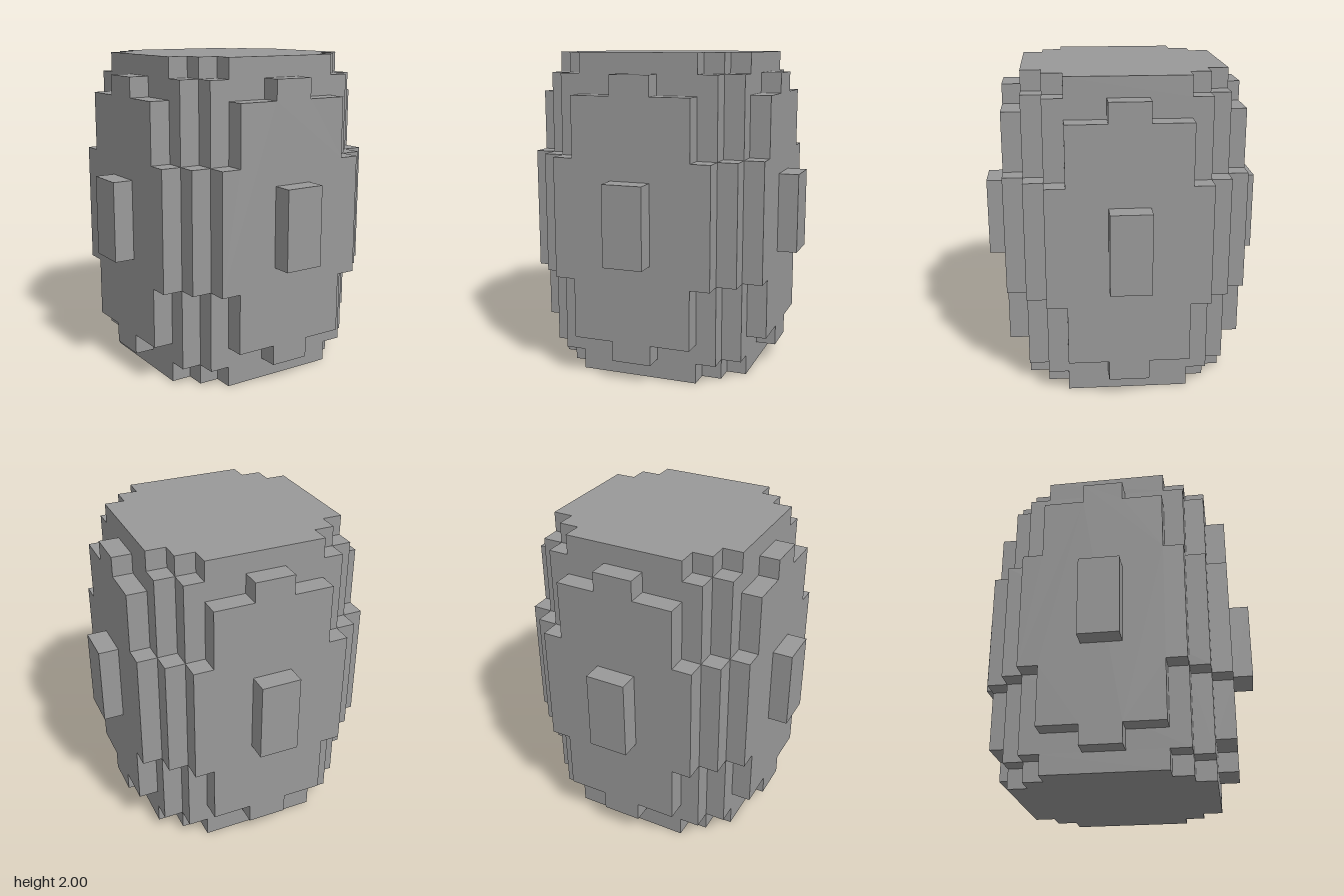
import * as THREE from 'three';

const U = 0.125; // one block

// Turns one quadrant of a stepped outline into a full mirrored shape
function mirroredShape(quadrant) {
  const back = [...quadrant].reverse();
  const points = [
    ...quadrant,
    ...back.map(([x, y]) => [-x, y]),
    ...quadrant.map(([x, y]) => [-x, -y]),
    ...back.map(([x, y]) => [x, -y]),
  ];
  return new THREE.Shape(points.map(([x, y]) => new THREE.Vector2(x * U, y * U)));
}

function extrude(quadrant, depth) {
  return new THREE.ExtrudeGeometry(mirroredShape(quadrant), { depth: depth * U, bevelEnabled: false });
}

export function createModel() {
  const model = new THREE.Group();
  model.name = 'blockBarrel';
  const grey = new THREE.MeshStandardMaterial({ color: 0x999999 });
  grey.name = 'grey';

  function add(parent, name, geometry) {
    const mesh = new THREE.Mesh(geometry, grey);
    mesh.name = name;
    parent.add(mesh);
  }

  // Barrel core: stacked bands with stepped corners
  const capOutline = [[5, 3], [4, 3], [4, 4], [3, 4], [3, 5]];
  const shoulderOutline = [[5, 4], [4, 4], [4, 5]];
  const waistOutline = [[5, 5]];
  const bands = [
    ['bottomCap', capOutline, 0, 1],
    ['lowerShoulder', shoulderOutline, 1, 5],
    ['waist', waistOutline, 5, 11],
    ['upperShoulder', shoulderOutline, 11, 15],
    ['topCap', capOutline, 15, 16],
  ];
  for (const [name, outline, bottom, top] of bands) {
    const geometry = extrude(outline, top - bottom);
    geometry.rotateX(-Math.PI / 2).translate(0, bottom * U, 0);
    add(model, name, geometry);
  }

  // Raised stepped panel and central knob on each of the four sides
  const panel = extrude([[4, 3], [3, 3], [3, 6], [1, 6], [1, 7]], 1).translate(0, 8 * U, 5 * U);
  const knob = new THREE.BoxGeometry(2 * U, 4 * U, U).translate(0, 8 * U, 6.5 * U);
  ['front', 'left', 'back', 'right'].forEach((side, i) => {
    const group = new THREE.Group();
    group.name = side + 'Side';
    group.rotation.y = (i * Math.PI) / 2;
    add(group, side + 'Panel', panel);
    add(group, side + 'Knob', knob);
    model.add(group);
  });

  return model;
}
